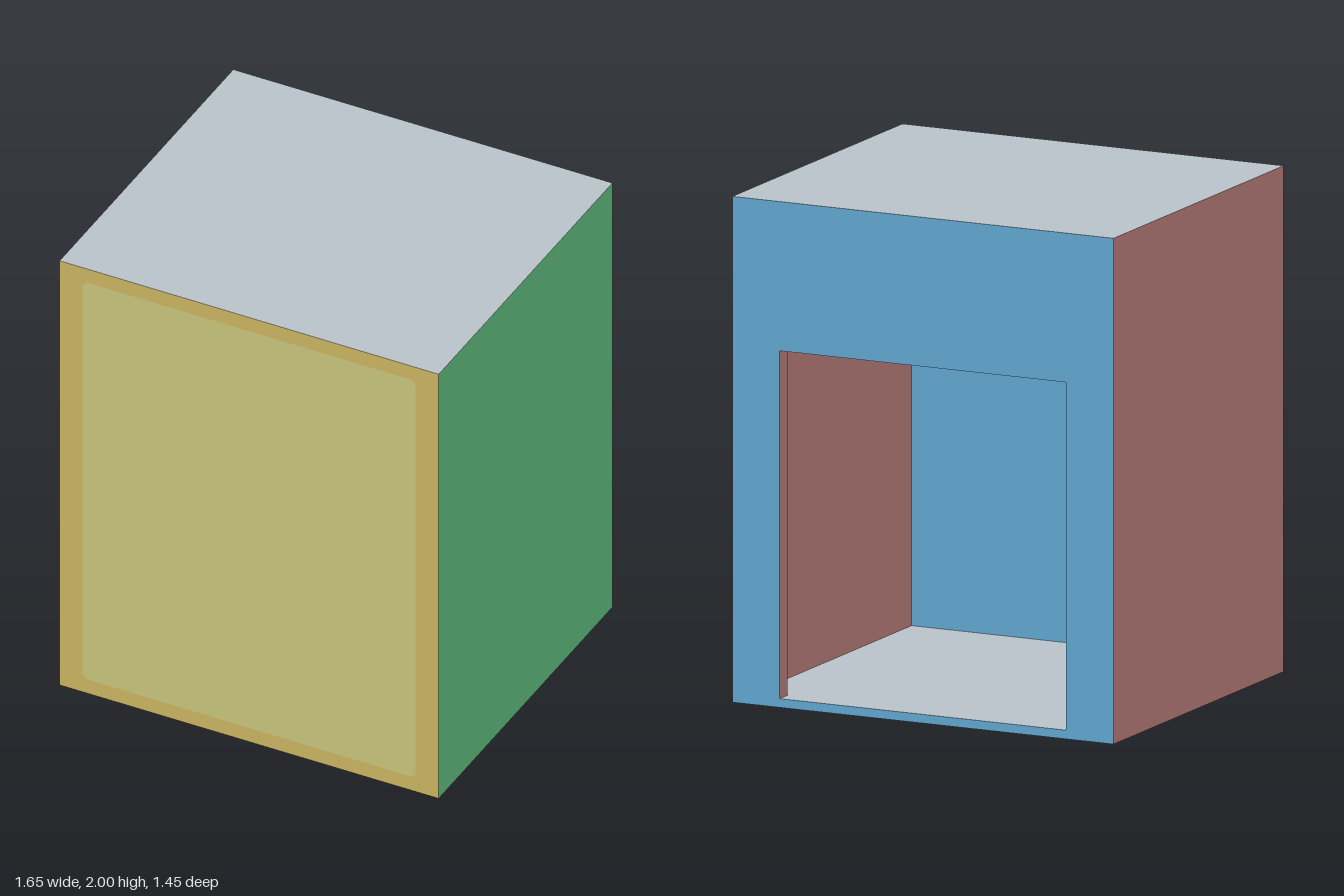
import * as THREE from 'three';

// One flat colour per facing direction, plus the front inlay
const mat = (name, color) => Object.assign(new THREE.MeshStandardMaterial({ color }), { name });

export function createModel() {
  const yellow = mat('mustard yellow', 0xc8b260);
  const olive = mat('pale olive', 0xc6c27c);
  const H = Math.PI / 2;
  const facing = {
    px: { rot: [0, H, 0], m: mat('green', 0x66cb87) },
    nx: { rot: [0, -H, 0], m: mat('dusty red', 0xc98985) },
    py: { rot: [-H, 0, 0], m: mat('light grey', 0xb9c3c9) },
    ny: { rot: [H, 0, 0], m: mat('slate', 0x585b6c) },
    pz: { rot: [0, 0, 0], m: yellow },
    nz: { rot: [0, Math.PI, 0], m: mat('blue', 0x5fa3cc) },
  };

  const model = new THREE.Group();
  model.name = 'cabinet';

  function place(name, geometry, dir, pos, material = facing[dir].m) {
    const mesh = new THREE.Mesh(geometry, material);
    mesh.name = name;
    mesh.rotation.set(...facing[dir].rot);
    mesh.position.set(...pos);
    model.add(mesh);
  }
  const panel = (name, dir, w, h, pos) => place(name, new THREE.PlaneGeometry(w, h), dir, pos);

  // Rounded rectangle outline, symmetric about x = 0
  function outline(path, x, y0, y1, r = 0) {
    if (!r) {
      path.moveTo(-x, y0).lineTo(x, y0).lineTo(x, y1).lineTo(-x, y1).closePath();
      return path;
    }
    path.moveTo(-x + r, y0).lineTo(x - r, y0);
    path.absarc(x - r, y0 + r, r, -H, 0);
    path.absarc(x - r, y1 - r, r, 0, H);
    path.absarc(-x + r, y1 - r, r, H, 2 * H);
    path.absarc(-x + r, y0 + r, r, 2 * H, 3 * H);
    return path;
  }
  function framed(x, y0, y1, hole) {
    const shape = outline(new THREE.Shape(), x, y0, y1);
    shape.holes.push(outline(new THREE.Path(), ...hole));
    return new THREE.ShapeGeometry(shape, 6);
  }

  // Outer and inner half sizes, and the doorway in the back
  const X = 0.825, Z = 0.725, TOP = 2;
  const ix = 0.755, izFront = 0.665, izBack = -0.66, floor = 0.035, ceil = 1.965;
  const door = [0.62, floor, 1.41];
  const inlay = [0.725, 0.065, 1.935, 0.03];

  // Outer shell
  panel('leftSide', 'px', 2 * Z, TOP, [X, 1, 0]);
  panel('rightSide', 'nx', 2 * Z, TOP, [-X, 1, 0]);
  panel('roof', 'py', 2 * X, 2 * Z, [0, TOP, 0]);
  panel('base', 'ny', 2 * X, 2 * Z, [0, 0, 0]);
  place('frontBorder', framed(X, 0, TOP, inlay), 'pz', [0, 0, Z]);
  place('frontInlay', new THREE.ShapeGeometry(outline(new THREE.Shape(), ...inlay), 6), 'pz', [0, 0, Z], olive);
  place('backWall', framed(X, 0, TOP, door), 'nz', [0, 0, -Z]);

  // Inner room
  const depth = izFront - izBack, mz = (izFront + izBack) / 2;
  const high = ceil - floor, my = (ceil + floor) / 2;
  panel('innerLeftWall', 'nx', depth, high, [ix, my, mz]);
  panel('innerRightWall', 'px', depth, high, [-ix, my, mz]);
  panel('floor', 'py', 2 * ix, depth, [0, floor, mz]);
  panel('ceiling', 'ny', 2 * ix, depth, [0, ceil, mz]);
  panel('innerFrontWall', 'nz', 2 * ix, high, [0, my, izFront]);
  place('innerBackWall', framed(ix, floor - 0.001, ceil, door), 'pz', [0, 0, izBack]);

  // Doorway reveals
  const [dx, d0, d1] = door;
  const t = izBack + Z, dz = (izBack - Z) / 2;
  panel('leftJamb', 'nx', t, d1 - d0, [dx, (d0 + d1) / 2, dz]);
  panel('rightJamb', 'px', t, d1 - d0, [-dx, (d0 + d1) / 2, dz]);
  panel('sill', 'py', 2 * dx, t, [0, d0, dz]);
  panel('lintel', 'ny', 2 * dx, t, [0, d1, dz]);

  return model;
}
